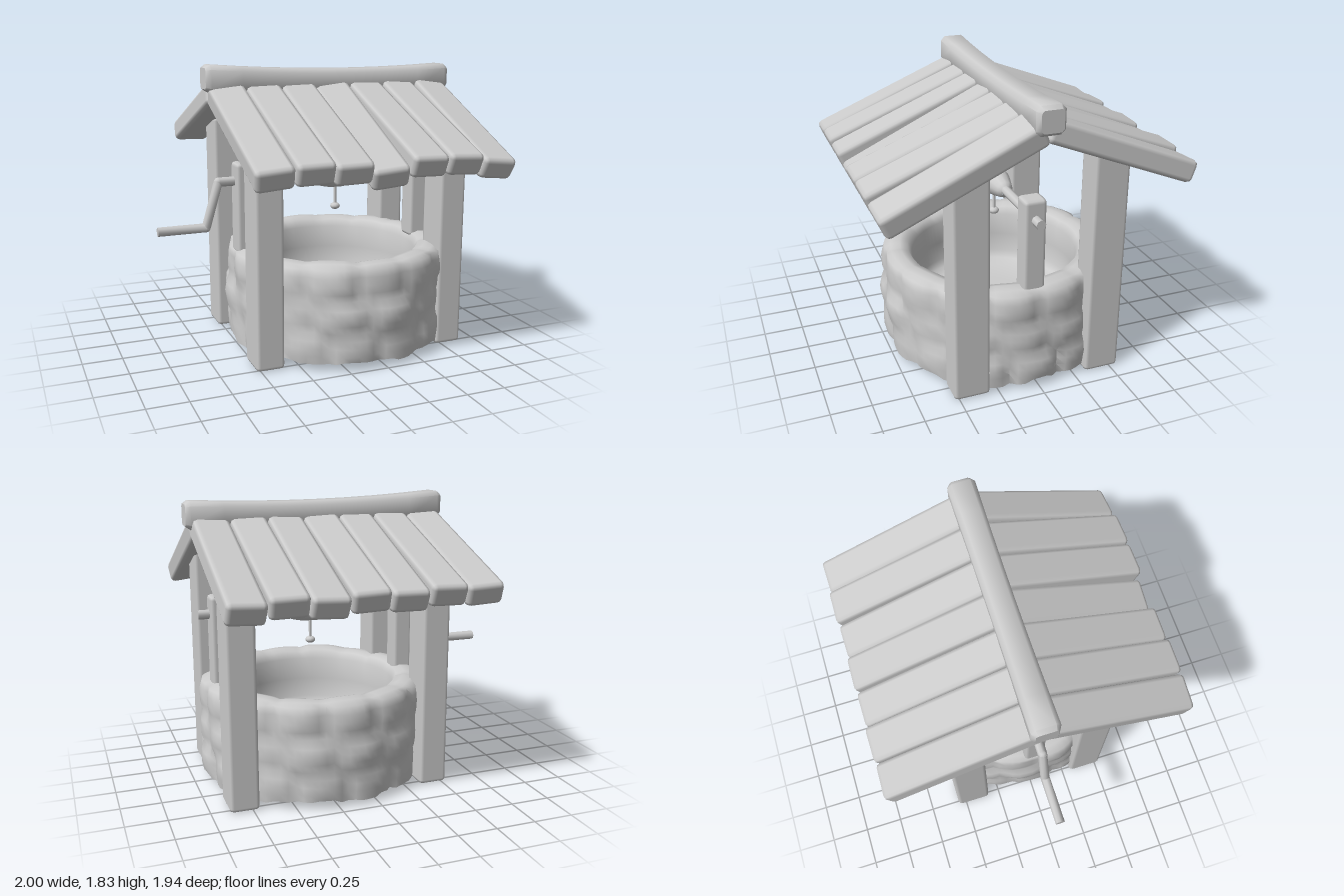
import * as THREE from 'three';
import { toCreasedNormals, mergeVertices } from 'three/addons/utils/BufferGeometryUtils.js';
import { RoundedBoxGeometry } from 'three/addons/geometries/RoundedBoxGeometry.js';

const mat = new THREE.MeshStandardMaterial({ color: 0xcccccc });
const openMat = new THREE.MeshStandardMaterial({ color: 0xcccccc, side: THREE.DoubleSide });
const CX = 0.195, CZ = 0.022; // axis of the stone ring

function add(parent, name, geo, x = 0, y = 0, z = 0, material = mat) {
  const mesh = new THREE.Mesh(geo, material);
  mesh.name = name;
  mesh.position.set(x, y, z);
  parent.add(mesh);
  return mesh;
}

// Repeatable value in -1..1 for a pair of cell numbers
function noise(a, b) {
  const s = Math.sin(a * 127.1 + b * 311.7) * 43758.5453;
  return (s - Math.floor(s)) * 2 - 1;
}

// Box with chamfered edges
const timber = (w, h, d, r = 0.025) => new RoundedBoxGeometry(w, h, d, 1, r);

// Rough stone wall, rounded over the rim into a smooth basin; open underneath
function stoneRing() {
  const profile = [];
  const rows = 12, segs = 98, stones = 14;
  for (let i = 0; i <= rows; i++) profile.push(new THREE.Vector2(0.7 - 0.012 * i / rows, 0.045 + 0.595 * i / rows));
  [[0.67, 0.66], [0.61, 0.665], [0.56, 0.65], [0.535, 0.6], [0.53, 0.45], [0.525, 0.32],
    [0.5, 0.27], [0.44, 0.245], [0.25, 0.235], [0, 0.235]]
    .forEach(([r, y]) => profile.push(new THREE.Vector2(r, y)));
  const geo = new THREE.LatheGeometry(profile, segs);
  const pos = geo.attributes.position, n = profile.length;
  for (let i = 0; i < pos.count; i++) {
    const k = i % n, s = Math.floor(i / n) % segs;
    const row = Math.min(2, Math.floor(k / 4));
    const cell = s / segs * stones + row * 0.22;
    const id = Math.floor(cell) % stones;
    const across = Math.sqrt(Math.sin(Math.PI * (cell - Math.floor(cell))));
    const up = 0.55 + 0.45 * Math.sin(Math.PI * (k - row * 4 + 0.3) / 4.6);
    let r = profile[k].x, y = profile[k].y;
    if (k <= rows) r += across * up * (0.042 + 0.018 * noise(id, row)) + 0.004 * noise(s, k);
    else if (k < rows + 4) y += 0.012 * (across - 0.7) + 0.006 * noise(id, 9);
    if (k === 0) y += 0.02 * noise(Math.floor(s / 3), 5);
    const a = s / segs * Math.PI * 2;
    pos.setXYZ(i, r * Math.sin(a), y, r * Math.cos(a));
  }
  return toCreasedNormals(geo, 1.2);
}

// Sagging ridge beam, a chamfered section run along x
function ridgeBeam() {
  const w = 0.068, h = 0.066, c = 0.016;
  const s = new THREE.Shape([
    [-w, -h + c], [-w + c, -h], [w - c, -h], [w, -h + c], [w, h - c], [w - c, h], [-w + c, h], [-w, h - c],
  ].map(p => new THREE.Vector2(...p)));
  const geo = new THREE.ExtrudeGeometry(s, {
    depth: 1.62, steps: 8, bevelThickness: 0.03, bevelSize: 0.022, bevelSegments: 1,
  });
  geo.translate(0, 0, -0.81).rotateY(Math.PI / 2);
  const pos = geo.attributes.position;
  for (let i = 0; i < pos.count; i++) {
    const t = pos.getX(i) / 0.84;
    const k = 0.91 + 0.07 * t * t;
    pos.setXYZ(i, pos.getX(i), pos.getY(i) * k + 0.024 * t * t - 0.0125 * t, pos.getZ(i) * k);
  }
  return toCreasedNormals(geo, 0.85);
}

// Planks of one slope; side is +1 for the front, -1 for the back
function roofSlope(side) {
  const slope = new THREE.Group();
  slope.name = side > 0 ? 'frontRoof' : 'backRoof';
  const pitch = side > 0 ? [0.39, 0.375, 0.39, 0.435, 0.375, 0.38, 0.425] : [0.36, 0.35, 0.37, 0.355, 0.38, 0.355, 0.38];
  const roll = side > 0 ? [0.09, 0.02, 0.02, 0.1, -0.03, -0.06, -0.12] : [-0.05, 0.03, 0.02, -0.04, 0.05, -0.02, 0.06];
  const length = side > 0 ? 1.015 : 1.0;
  for (let i = 0; i < 7; i++) {
    const holder = new THREE.Group();
    holder.name = 'plankHolder';
    holder.position.set(-0.545 + i * 0.233, 1.652, 0);
    holder.rotation.x = side * pitch[i];
    const plank = add(holder, 'roofPlank', timber(0.23, 0.14, length, 0.03), 0, 0, side * (length / 2 + 0.012));
    plank.rotation.z = roll[i];
    slope.add(holder);
  }
  return slope;
}

export function createModel() {
  const model = new THREE.Group();
  model.name = 'well';

  add(model, 'stoneWall', stoneRing(), CX, 0, CZ, openMat);

  // Roof posts and the short axle supports
  for (const x of [-0.437, 0.80]) {
    for (const z of [0.418, -0.44]) add(model, 'roofPost', timber(0.183, 1.46, 0.228), x, 0.73, z);
    add(model, 'axleSupport', timber(0.13, 0.59, 0.14), x, 0.92, CZ);
  }

  // Roof
  add(model, 'ridgeBeam', ridgeBeam(), 0.16, 1.708, 0);
  model.add(roofSlope(1), roofSlope(-1));

  // Windlass: axle, drum and crank
  const windlass = new THREE.Group();
  windlass.name = 'windlass';
  windlass.position.z = CZ;
  model.add(windlass);
  const rod = (name, x0, y0, x1, y1, r = 0.03) => {
    const d = new THREE.Vector2(x1 - x0, y1 - y0);
    const m = add(windlass, name, toCreasedNormals(new THREE.CylinderGeometry(r, r, d.length(), 8), 0.9),
      (x0 + x1) / 2, (y0 + y1) / 2, 0);
    m.rotation.z = Math.atan2(d.y, d.x) - Math.PI / 2;
  };
  rod('axle', -0.605, 1.095, 0.935, 1.095);
  rod('crankArm', -0.605, 1.095, -0.69, 0.807);
  rod('crankHandle', -0.69, 0.807, -1.0, 0.807);
  for (const [x, y] of [[-0.605, 1.095], [-0.69, 0.807]])
    add(windlass, 'crankJoint', new THREE.SphereGeometry(0.03, 8, 6), x, y, 0);

  const drum = [[0.03, -0.2], [0.052, -0.18], [0.075, -0.1], [0.087, -0.04], [0.087, 0.04], [0.075, 0.1], [0.052, 0.18], [0.03, 0.2]];
  const drumGeo = mergeVertices(new THREE.LatheGeometry(drum.map(p => new THREE.Vector2(...p)), 12));
  add(windlass, 'drum', drumGeo, 0.205, 1.092, 0).rotation.z = Math.PI / 2;

  // Hanging rope with its end knot
  rod('rope', 0.2, 1.04, 0.2, 0.88, 0.01);
  add(windlass, 'ropeKnot', new THREE.SphereGeometry(0.033, 10, 8), 0.2, 0.877, 0).scale.y = 0.7;

  return model;
}
